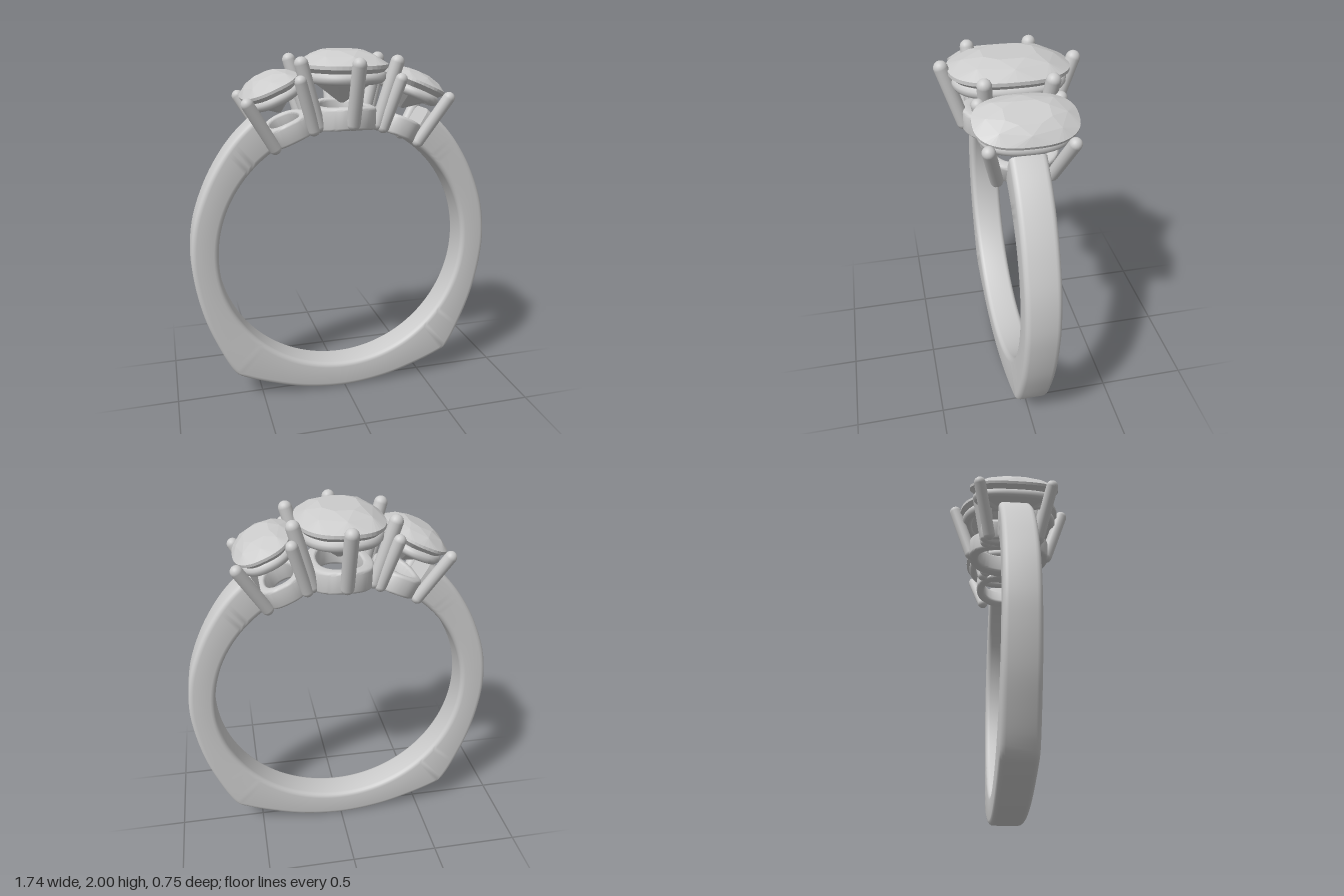
import * as THREE from 'three';
import { toCreasedNormals } from 'three/addons/utils/BufferGeometryUtils.js';
import { ConvexGeometry } from 'three/addons/geometries/ConvexGeometry.js';

const BORE = 0.72;       // finger hole radius
const CENTRE = 0.88;     // finger hole height
const metal = new THREE.MeshStandardMaterial({ color: 0xcccccc });
const stone = new THREE.MeshStandardMaterial({ color: 0xcccccc, flatShading: true });

function addMesh(parent, name, geometry, material = metal) {
  const mesh = new THREE.Mesh(geometry, material);
  mesh.name = name;
  parent.add(mesh);
  return mesh;
}

// Counter-clockwise rounded rectangle, centred on the origin
function roundedSection(w, h, r, steps = 4) {
  const pts = [];
  [[1, 1], [-1, 1], [-1, -1], [1, -1]].forEach(([sx, sy], q) => {
    for (let k = 0; k <= steps; k++) {
      const a = (q + k / steps) * Math.PI / 2;
      pts.push([sx * (w / 2 - r) + r * Math.cos(a), sy * (h / 2 - r) + r * Math.sin(a)]);
    }
  });
  return pts;
}

// Skin a row of equal-length cross-sections
function skin(sections, closed) {
  const n = sections[0].length, m = sections.length, index = [];
  for (let i = 0; i < (closed ? m : m - 1); i++) {
    for (let j = 0; j < n; j++) {
      const k = (j + 1) % n, p = i * n, q = ((i + 1) % m) * n;
      index.push(p + j, p + k, q + j, p + k, q + k, q + j);
    }
  }
  if (!closed) {
    const e = (m - 1) * n;
    for (let j = 1; j < n - 1; j++) index.push(0, j + 1, j, e, e + j, e + j + 1);
  }
  const g = new THREE.BufferGeometry().setFromPoints(sections.flat());
  g.setIndex(index);
  return toCreasedNormals(g, 0.7);
}

// Cushion-shaped outline point
function cushion(a, hx, hz, power = 2.5) {
  const c = Math.cos(a), s = Math.sin(a), e = 2 / power;
  return [hx * Math.sign(c) * Math.abs(c) ** e, hz * Math.sign(s) * Math.abs(s) ** e];
}

// Shank: round bore, outer edge with two corners at the foot
function shank() {
  const half = [[0.25, 0.026], [0.45, 0.083], [0.6, 0.142], [0.65, 0.17], [0.685, 0.22], [0.75, 0.36],
    [0.812, 0.53], [0.855, 0.73], [0.868, 0.9], [0.843, 1.1], [0.77, 1.3], [0.685, 1.45], [0.6, 1.56], [0.478, 1.675]];
  const pts = [...half.map(([x, y]) => [-x, y]).reverse(), [0, 0], ...half];
  const curve = new THREE.CatmullRomCurve3(pts.map(([x, y]) => new THREE.Vector3(x, y, 0)));
  const sections = curve.getSpacedPoints(180).map((p) => {
    const r = Math.hypot(p.x, p.y - CENTRE), dx = p.x / r, dy = (p.y - CENTRE) / r;
    return roundedSection(r - BORE, 0.186, 0.028).map(([s, t]) => {
      const d = (r + BORE) / 2 + s;
      return new THREE.Vector3(dx * d, CENTRE + dy * d, -t);
    });
  });
  return skin(sections, false);
}

// Gallery: oval collar whose underside follows the bore
function gallery(hx, hz, thick, height) {
  const sections = [];
  for (let i = 0; i < 64; i++) {
    const a = i / 64 * Math.PI * 2;
    sections.push(roundedSection(thick, height, 0.015, 3).map(([s, t]) => {
      const [x, z] = cushion(a, hx - thick / 2 + s, hz - thick / 2 + s, 2.3);
      return new THREE.Vector3(x, Math.sqrt(BORE * BORE - x * x) + height / 2 + t, z);
    }));
  }
  return skin(sections, true);
}

// Round wire under the girdle
function seat(hx, hz, y, r) {
  const pts = [];
  for (let i = 0; i < 32; i++) {
    const [x, z] = cushion(i / 32 * Math.PI * 2, hx, hz);
    pts.push(new THREE.Vector3(x, y, z));
  }
  return new THREE.TubeGeometry(new THREE.CatmullRomCurve3(pts, true), 80, r, 10, true);
}

// Faceted cushion gem: table, crown, girdle, pavilion and culet
function gem(hx, hz, table, girdle, culet) {
  const pts = [], up = table - girdle, down = girdle - culet;
  const ring = (n, f, y, turn) => {
    for (let i = 0; i < n; i++) {
      const [x, z] = cushion((i + turn) / n * Math.PI * 2, hx * f, hz * f);
      pts.push(new THREE.Vector3(x, y, z));
    }
  };
  ring(8, 0.46, table, 0.5);
  ring(8, 0.76, girdle + up * 0.68, 0);
  ring(48, 1, girdle + up * 0.15, 0);
  ring(48, 1, girdle - up * 0.08, 0);
  ring(8, 0.62, girdle - down * 0.5, 0.5);
  ring(8, 0.06, culet, 0);
  return new ConvexGeometry(pts);
}

function prong(parent, from, to, r) {
  const a = new THREE.Vector3(...from), b = new THREE.Vector3(...to);
  const dir = b.clone().sub(a);
  const mesh = addMesh(parent, 'prong', new THREE.CapsuleGeometry(r, dir.length(), 8, 16));
  mesh.position.copy(a).add(b).multiplyScalar(0.5);
  mesh.quaternion.setFromUnitVectors(new THREE.Vector3(0, 1, 0), dir.normalize());
}

// Each setting is built upright above the bore centre, then turned round it
function setting(name, angle) {
  const head = new THREE.Group();
  head.name = name;
  head.position.y = CENTRE;
  head.rotation.z = -angle;
  return head;
}

function centreSetting() {
  const head = setting('centreSetting', 0);
  addMesh(head, 'centreStone', gem(0.23, 0.308, 1.12, 1.04, 0.84), stone);
  addMesh(head, 'centreSeat', seat(0.19, 0.262, 0.985, 0.032));
  addMesh(head, 'centreGallery', gallery(0.18, 0.245, 0.06, 0.12));
  for (const z of [-1, 1]) {
    prong(head, [0, 0.755, z * 0.235], [0, 1.06, z * 0.338], 0.037);
    for (const x of [-1, 1]) prong(head, [x * 0.165, 0.735, z * 0.135], [x * 0.258, 1.06, z * 0.167], 0.037);
  }
  return head;
}

function sideSetting(side) {
  const head = setting(side > 0 ? 'leftSetting' : 'rightSetting', side * 0.408);
  addMesh(head, 'sideStone', gem(0.162, 0.255, 1.082, 1.02, 0.87), stone);
  addMesh(head, 'sideSeat', seat(0.125, 0.208, 0.967, 0.028));
  addMesh(head, 'sideGallery', gallery(0.132, 0.185, 0.05, 0.11));
  for (const z of [-1, 1]) {
    prong(head, [side * 0.118, 0.735, z * 0.14], [side * 0.155, 1.012, z * 0.202], 0.033);
    prong(head, [side * -0.108, 0.735, z * 0.15], [side * -0.138, 1.0, z * 0.202], 0.033);
  }
  return head;
}

export function createModel() {
  const ring = new THREE.Group();
  ring.name = 'threeStoneRing';
  addMesh(ring, 'shank', shank());
  ring.add(centreSetting(), sideSetting(1), sideSetting(-1));
  return ring;
}
